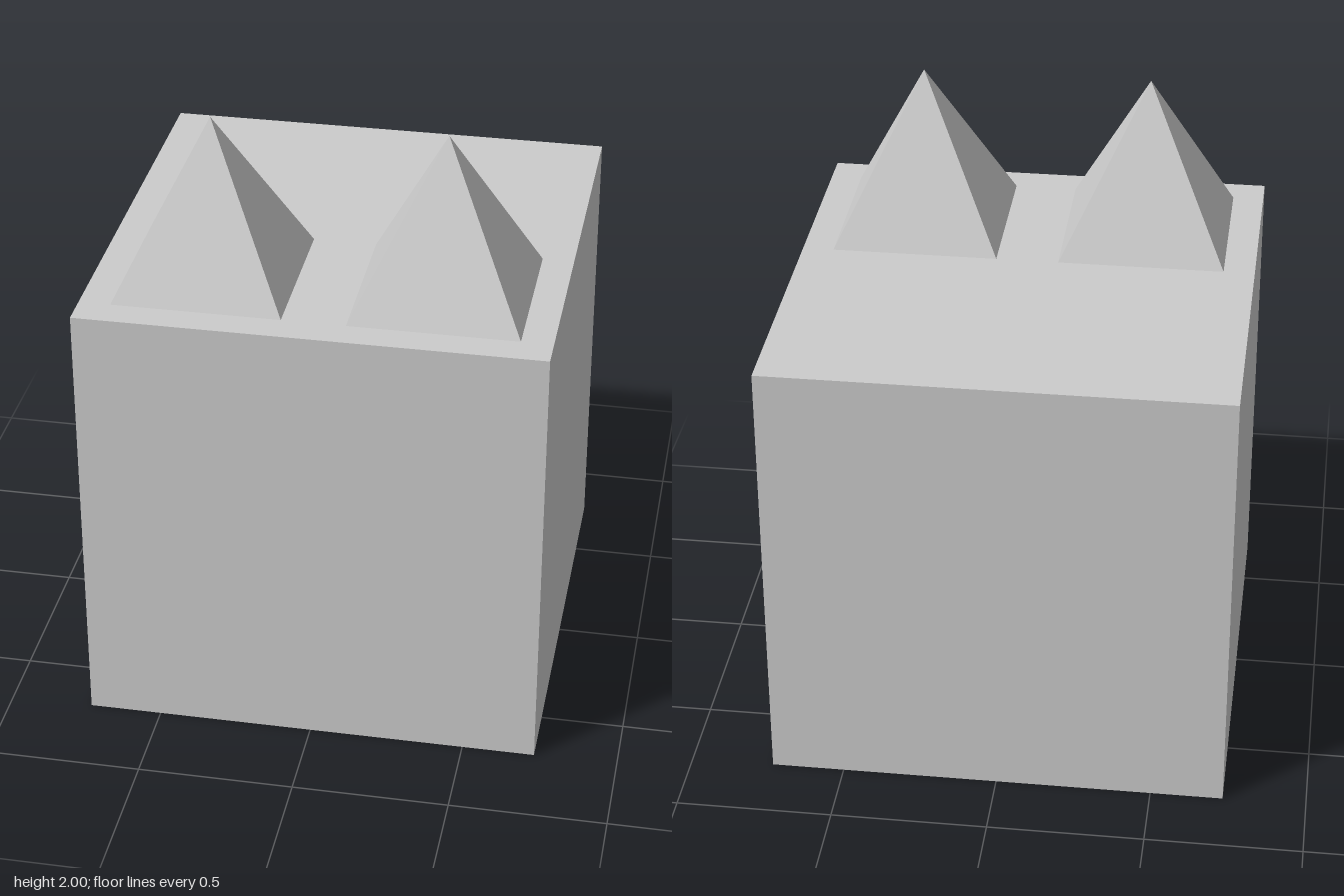
import * as THREE from 'three';

export function createModel() {
  const model = new THREE.Group();
  const grey = new THREE.MeshStandardMaterial({ color: 0xcccccc, flatShading: true });
  const sheet = new THREE.MeshStandardMaterial({ color: 0xcccccc, side: THREE.DoubleSide });

  const add = (name, geometry, material, x, y, z) => {
    const mesh = new THREE.Mesh(geometry, material);
    mesh.name = name;
    mesh.position.set(x, y, z);
    model.add(mesh);
  };

  // Cube head, set slightly back to leave room for the eyes
  const size = 1.467;
  add('head', new THREE.BoxGeometry(size, size, size), grey, 0, size / 2, -0.033);

  // Square pyramid ear
  const earSize = 0.533;
  const ear = new THREE.ConeGeometry(earSize / Math.SQRT2, earSize, 4).rotateY(Math.PI / 4);

  // Crescent eye outline: upper lid outwards, then lower lid back in
  const eyeOutline = [
    [0.083, 0.955], [0.165, 0.932], [0.28, 0.924], [0.413, 0.939], [0.543, 0.992],
    [0.627, 1.045], [0.675, 1.088], [0.644, 0.97], [0.592, 0.894], [0.523, 0.828],
    [0.418, 0.78], [0.322, 0.767], [0.224, 0.799], [0.135, 0.873],
  ];

  for (const [side, sign] of [['left', 1], ['right', -1]]) {
    add(side + 'Ear', ear, grey, sign * 0.367, size + earSize / 2, 0.333);
    // Flat eye floating just in front of the face
    const shape = new THREE.Shape(eyeOutline.map(([x, y]) => new THREE.Vector2(sign * x, y)));
    add(side + 'Eye', new THREE.ShapeGeometry(shape), sheet, 0, 0, 0.767);
  }
  return model;
}
